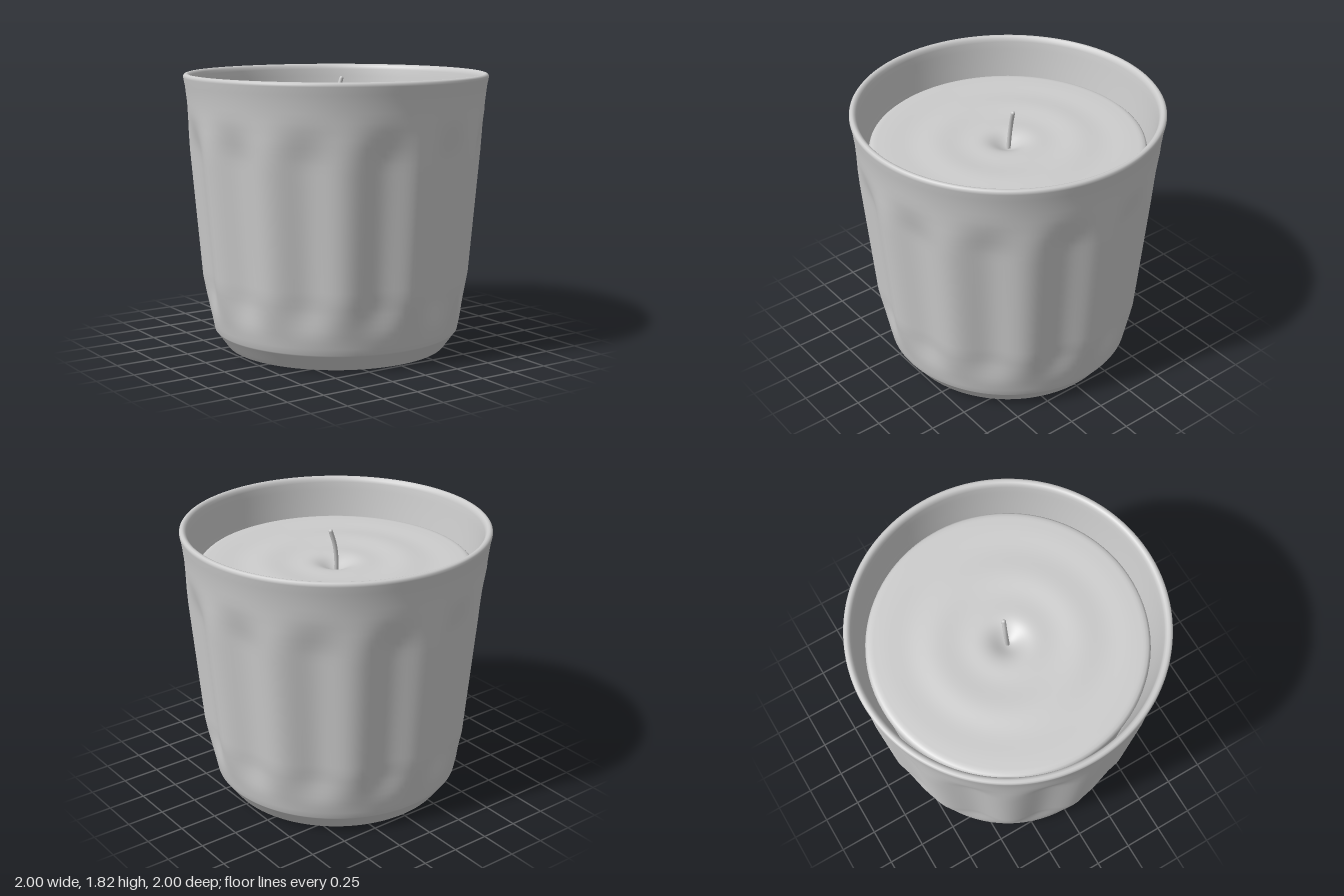
import * as THREE from 'three';
import { mergeVertices } from 'three/addons/utils/BufferGeometryUtils.js';

const FLUTES = 12;
const FLUTE_DEPTH = 0.045;
const material = new THREE.MeshStandardMaterial({ color: 0xcccccc, roughness: 0.7 });

// Adds points along long straight stretches of a profile
function subdivide(points, step) {
  const out = [];
  for (let i = 0; i < points.length - 1; i++) {
    const a = new THREE.Vector2(...points[i]);
    const b = new THREE.Vector2(...points[i + 1]);
    const n = Math.max(1, Math.ceil(a.distanceTo(b) / step));
    for (let k = 0; k < n; k++) out.push(a.clone().lerp(b, k / n));
  }
  out.push(new THREE.Vector2(...points[points.length - 1]));
  return out;
}

// Lathe with an optional rule for moving vertices, welded for seamless smooth normals
function smoothLathe(profile, segments, rule) {
  let geo = new THREE.LatheGeometry(profile, segments);
  geo.deleteAttribute('uv');
  geo.deleteAttribute('normal');
  if (rule) {
    const p = geo.attributes.position;
    const v = new THREE.Vector3();
    for (let i = 0; i < p.count; i++) {
      rule(v.fromBufferAttribute(p, i));
      p.setXYZ(i, v.x, v.y, v.z);
    }
  }
  geo = mergeVertices(geo, 1e-5);
  geo.computeVertexNormals();
  return geo;
}

function addMesh(group, name, geometry) {
  const mesh = new THREE.Mesh(geometry, material);
  mesh.name = name;
  group.add(mesh);
}

// Outer radius of the cup at a height, used to tell outside from inside
const outer = [
  [0.735, 0.005], [0.808, 0.106], [0.816, 0.116], [0.833, 0.2], [0.852, 0.28],
  [0.872, 0.37], [0.891, 0.47], [0.964, 1.31], [0.97, 1.42], [0.972, 1.52],
  [0.977, 1.63], [0.99, 1.74], [1.0, 1.79],
];
function outerRadius(y) {
  for (let i = 1; i < outer.length; i++) {
    const [r0, y0] = outer[i - 1];
    const [r1, y1] = outer[i];
    if (y <= y1) return r0 + ((r1 - r0) * (y - y0)) / (y1 - y0);
  }
  return 1;
}

// Shallow vertical flutes that fade out toward the base and the rim
function flute(v) {
  const r = Math.hypot(v.x, v.z);
  if (r < outerRadius(v.y) - 0.02) return;
  const fade = THREE.MathUtils.smoothstep(v.y, 0.18, 0.45)
    * (1 - THREE.MathUtils.smoothstep(v.y, 1.3, 1.6));
  const dent = 0.5 - 0.5 * Math.cos(FLUTES * Math.atan2(v.x, v.z));
  const s = 1 - (FLUTE_DEPTH * fade * dent) / r;
  v.x *= s;
  v.z *= s;
}

export function createModel() {
  const group = new THREE.Group();
  group.name = 'candleInCup';

  // Cup: underside, fluted wall, rounded rim, inner wall and floor
  const cupProfile = [
    [0, 0], [0.715, 0], [0.73, 0.001], ...outer,
    [0.999, 1.804], [0.992, 1.813], [0.98, 1.817], [0.967, 1.813],
    [0.956, 1.8], [0.95, 1.78], [0.936, 1.68], [0.924, 1.6], [0.908, 1.5],
    [0.88, 1.32], [0.805, 0.46], [0.73, 0.13], [0.7, 0.1], [0, 0.1],
  ];
  addMesh(group, 'cup', smoothLathe(subdivide(cupProfile, 0.06), 192, flute));

  // Wax fill with rounded edge, faint ripples and a dip around the wick
  const waxProfile = subdivide([
    [0, 0.105], [0.7, 0.105], [0.79, 0.46], [0.868, 1.32], [0.891, 1.5],
    [0.893, 1.525], [0.888, 1.545], [0.875, 1.556], [0.855, 1.56],
  ], 0.08);
  for (let i = 1; i <= 48; i++) {
    const r = 0.855 * (1 - i / 48);
    const dip = 0.06 * Math.exp(-((r / 0.1) ** 2));
    const ripple = 0.005 * Math.sin(r * 17) * Math.sin((Math.PI * r) / 0.855);
    waxProfile.push(new THREE.Vector2(r, 1.56 - dip + ripple));
  }
  addMesh(group, 'wax', smoothLathe(waxProfile, 96));

  // Wick, bending gently toward +x, with a rounded tip
  const path = new THREE.CatmullRomCurve3([
    new THREE.Vector3(0, 1.46, 0),
    new THREE.Vector3(0.003, 1.57, -0.008),
    new THREE.Vector3(0.018, 1.68, -0.01),
    new THREE.Vector3(0.045, 1.775, -0.004),
  ]);
  addMesh(group, 'wick', new THREE.TubeGeometry(path, 24, 0.014, 12));
  const tip = new THREE.SphereGeometry(0.014, 12, 8);
  tip.translate(0.045, 1.775, -0.004);
  addMesh(group, 'wickTip', tip);

  return group;
}
